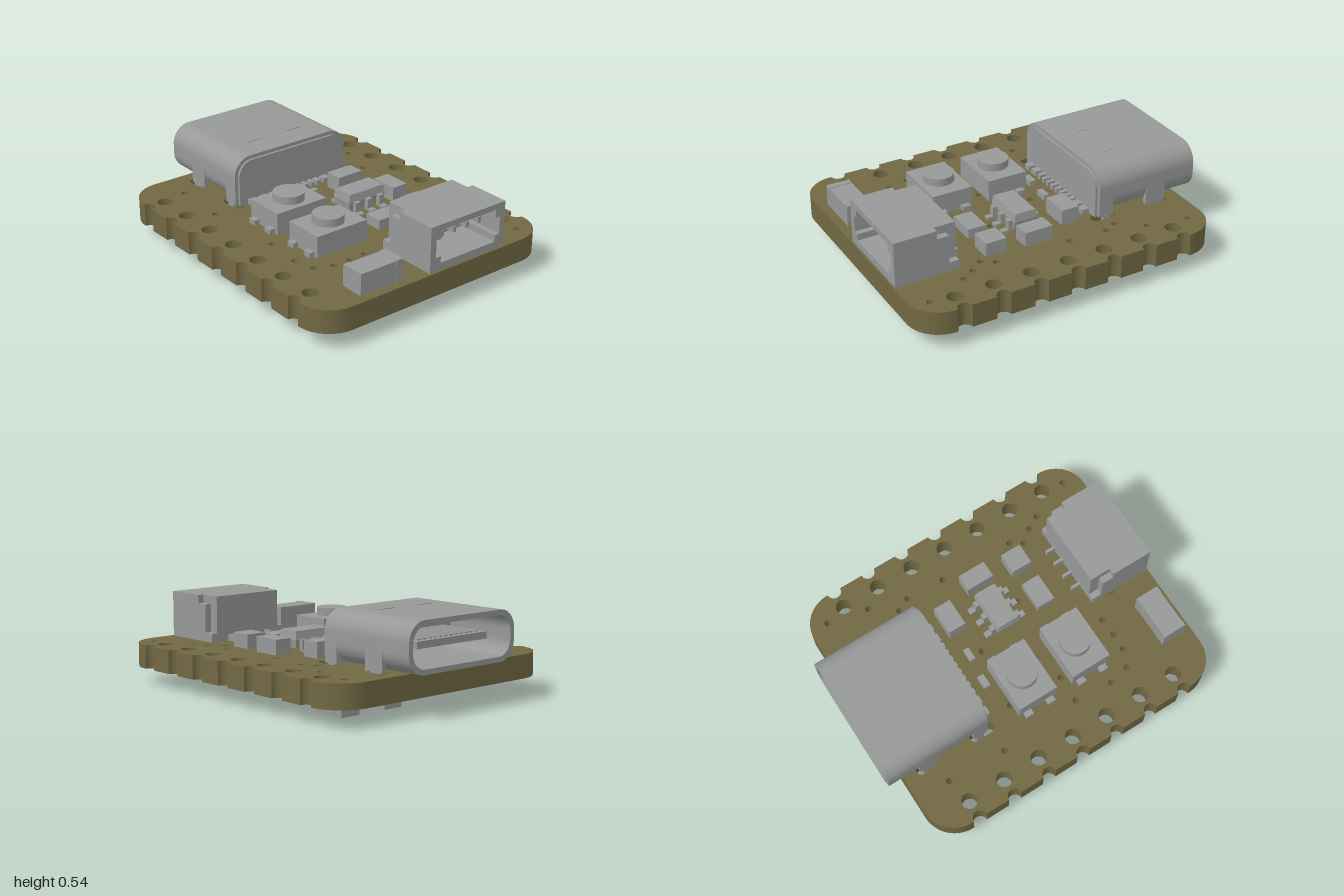
import * as THREE from 'three';
import { toCreasedNormals } from 'three/addons/utils/BufferGeometryUtils.js';

const olive = new THREE.MeshStandardMaterial({ color: 0x716843 });
olive.name = 'olive board';
const grey = new THREE.MeshStandardMaterial({ color: 0x979999 });
grey.name = 'component grey';

const TOP = 0.245, BOTTOM = 0.105;

export function createModel() {
  const model = new THREE.Group();
  const add = (name, geo, mat = grey, parent = model) => {
    const m = new THREE.Mesh(geo, mat);
    m.name = name;
    parent.add(m);
    return m;
  };
  // Box given by its limits on each axis
  const box = (name, x0, x1, y0, y1, z0, z1, parent = model) => {
    const m = add(name, new THREE.BoxGeometry(x1 - x0, y1 - y0, z1 - z0), grey, parent);
    m.position.set((x0 + x1) / 2, (y0 + y1) / 2, (z0 + z1) / 2);
    return m;
  };
  const group = (name, x = 0, y = 0, z = 0) => {
    const g = new THREE.Group();
    g.name = name;
    g.position.set(x, y, z);
    model.add(g);
    return g;
  };
  // Extrusion along z from z0 to z1
  const extrudeZ = (shape, z0, z1) => {
    const g = new THREE.ExtrudeGeometry(shape, { depth: z1 - z0, bevelEnabled: false, curveSegments: 12 });
    g.translate(0, 0, z0);
    return toCreasedNormals(g, 0.6);
  };
  // Rounded rectangle with separate lower and upper corner radii
  const rounded = (P, x0, x1, y0, y1, rb, rt) => {
    const p = new P(), h = Math.PI / 2;
    p.moveTo(x0 + rb, y0);
    p.lineTo(x1 - rb, y0);
    if (rb) p.absarc(x1 - rb, y0 + rb, rb, -h, 0, false);
    p.lineTo(x1, y1 - rt);
    if (rt) p.absarc(x1 - rt, y1 - rt, rt, 0, h, false);
    p.lineTo(x0 + rt, y1);
    if (rt) p.absarc(x0 + rt, y1 - rt, rt, h, 2 * h, false);
    p.lineTo(x0, y0 + rb);
    if (rb) p.absarc(x0 + rb, y0 + rb, rb, 2 * h, 3 * h, false);
    return p;
  };
  const polygon = pts => new THREE.Shape(pts.map(p => new THREE.Vector2(...p)));

  // Board with edge notches, pin holes, slots and vias (shape y is -z)
  const H = Math.PI / 2, W = 0.815, R = 0.2, nr = 0.043;
  const rows = Array.from({ length: 7 }, (_, i) => -0.75 + i * 0.2343);
  const s = new THREE.Shape();
  s.moveTo(-W + R, -1);
  s.lineTo(W - R, -1);
  s.absarc(W - R, -1 + R, R, -H, 0, false);
  for (const y of rows) {
    s.lineTo(W, y - nr);
    s.absarc(W, y, nr, -H, H, true);
  }
  s.absarc(W - R, 0.905 - R, R, 0, H, false);
  s.absarc(-W + R, 0.905 - R, R, H, 2 * H, false);
  for (const y of [...rows].reverse()) {
    s.lineTo(-W, y + nr);
    s.absarc(-W, y, nr, H, -H, true);
  }
  s.absarc(-W + R, -1 + R, R, 2 * H, 3 * H, false);
  const hole = (x, z, r) => s.holes.push(new THREE.Path().absarc(x, -z, r, 0, 2 * Math.PI, true));
  for (const sx of [-1, 1]) {
    for (const y of rows) hole(sx * 0.7, -y, 0.047);
    for (const [z0, z1] of [[-0.82, -0.7], [-0.46, -0.3]])
      s.holes.push(rounded(THREE.Path, sx * 0.395 - 0.032, sx * 0.395 + 0.032, -z1, -z0, 0.03, 0.03));
  }
  const vias = [[-0.54, -0.69], [-0.56, -0.33], [0.66, -0.79], [0.61, -0.54], [0.5, -0.39], [0.54, -0.31],
    [0.53, -0.07], [0.02, -0.115], [-0.18, 0.125], [-0.53, 0.18], [-0.365, 0.185], [0.17, 0.235],
    [-0.55, 0.415], [-0.52, 0.545], [-0.415, 0.59], [-0.31, 0.595], [-0.2, 0.59], [0.515, 0.395],
    [0.47, 0.47], [0.53, 0.55], [0.575, 0.63], [0.68, 0.89], [-0.35, -0.155], [-0.075, 0.74]];
  for (const [x, z] of vias) hole(x, z, 0.019);
  const board = new THREE.ExtrudeGeometry(s, { depth: TOP - BOTTOM, bevelEnabled: false, curveSegments: 10 });
  board.rotateX(-Math.PI / 2);
  board.translate(0, BOTTOM, 0);
  add('circuitBoard', toCreasedNormals(board, 0.7), olive);

  // USB socket: hollow shell, rear plate, tongue, legs and contacts
  const usb = group('usbSocket');
  const shell = rounded(THREE.Shape, -0.408, 0.408, 0.25, 0.542, 0.115, 0.115);
  shell.holes.push(rounded(THREE.Path, -0.378, 0.378, 0.28, 0.512, 0.09, 0.09));
  add('shell', extrudeZ(shell, -1, -0.44), grey, usb);
  add('rearShell', extrudeZ(rounded(THREE.Shape, -0.408, 0.408, 0.25, 0.542, 0, 0.115), -0.44, -0.345), grey, usb);
  add('rearPlate', extrudeZ(rounded(THREE.Shape, -0.385, 0.385, TOP, 0.52, 0, 0.095), -0.345, -0.33), grey, usb);
  box('tongue', -0.27, 0.27, 0.375, 0.415, -0.92, -0.44, usb);
  box('tongueBase', -0.32, 0.32, 0.33, 0.46, -0.6, -0.44, usb);
  for (let i = 0; i < 12; i++) {
    const x = -0.22 + i * 0.04;
    box('tongueContact', x - 0.011, x + 0.011, 0.368, 0.422, -0.89, -0.62, usb);
  }
  for (const sx of [-1, 1]) {
    for (const [z0, z1] of [[-0.8, -0.67], [-0.44, -0.36]]) {
      const x = sx * 0.395;
      box('shellLeg', x - 0.013, x + 0.013, TOP, 0.4, z0, z1, usb);
      box('legPin', x - 0.013, x + 0.013, 0.15, TOP, z0 + 0.02, z1 - 0.015, usb);
    }
    box('shellWindow', sx * 0.145 - 0.055, sx * 0.145 + 0.055, 0.54, 0.545, -0.57, -0.51, usb);
  }
  for (const [x, w] of [[-0.305, 0.05], [-0.23, 0.05], [-0.165, 0.03], [-0.115, 0.025], [-0.067, 0.025], [-0.02, 0.025],
    [0.028, 0.025], [0.075, 0.025], [0.12, 0.025], [0.165, 0.03], [0.225, 0.05], [0.298, 0.05]])
    box('contact', x - w / 2, x + w / 2, TOP, 0.275, -0.35, -0.283, usb);

  // Cable connector: open front, stepped rear corners, four pins
  const plug = group('cableConnector');
  const frame = polygon([[-0.075, TOP], [0.47, TOP], [0.47, 0.52], [-0.075, 0.52]]);
  frame.holes.push(new THREE.Path([[0, 0.29], [0, 0.33], [-0.035, 0.33], [-0.035, 0.435], [0, 0.435], [0, 0.485],
    [0.4, 0.485], [0.4, 0.435], [0.435, 0.435], [0.435, 0.33], [0.4, 0.33], [0.4, 0.29]]
    .map(p => new THREE.Vector2(...p))));
  add('housing', extrudeZ(frame, 0.73, 0.988), grey, plug);
  add('housingBack', extrudeZ(polygon([[-0.075, TOP], [0.47, TOP], [0.47, 0.3], [0.43, 0.3], [0.43, 0.52],
    [-0.035, 0.52], [-0.035, 0.3], [-0.075, 0.3]]), 0.6, 0.73), grey, plug);
  for (const x0 of [-0.075, 0.43]) box('rearStep', x0, x0 + 0.04, 0.3, 0.47, 0.66, 0.73, plug);
  for (const x of [0.06, 0.15, 0.245, 0.335]) {
    box('pin', x - 0.01, x + 0.01, 0.405, 0.44, 0.72, 0.93, plug);
    box('solderTail', x - 0.009, x + 0.009, TOP, 0.285, 0.54, 0.6, plug);
  }

  // Push buttons
  for (const z of [-0.02, 0.345]) {
    const b = group('pushButton', -0.26, TOP, z);
    box('body', -0.175, 0.175, 0, 0.13, -0.127, 0.127, b);
    add('cap', new THREE.CylinderGeometry(0.092, 0.092, 0.06, 32), grey, b).position.y = 0.148;
    for (const sx of [-1, 1]) for (const sz of [-1, 1])
      box('foot', sx * 0.19 - 0.02, sx * 0.19 + 0.02, 0, 0.03, sz * 0.075 - 0.025, sz * 0.075 + 0.025, b);
  }

  // Voltage regulator with bevelled top and bent leads
  const chip = group('regulator', 0.178, 0, 0.087);
  const body = new THREE.BoxGeometry(0.268, 0.1, 0.148, 1, 2, 1).toNonIndexed();
  const p = body.attributes.position;
  for (let i = 0; i < p.count; i++) if (p.getY(i) !== 0) {
    p.setX(i, p.getX(i) * 0.94);
    p.setZ(i, p.getZ(i) * 0.88);
  }
  body.computeVertexNormals();
  add('body', body, grey, chip).position.y = 0.315;
  for (const sz of [-1, 1]) for (const x of [-0.088, 0, 0.088]) {
    box('leadFoot', x - 0.018, x + 0.018, TOP, 0.262, sz * 0.115 - 0.022, sz * 0.115 + 0.022, chip);
    box('leadBend', x - 0.018, x + 0.018, 0.25, 0.32, sz * 0.085 - 0.014, sz * 0.085 + 0.014, chip);
  }

  // Top side chip parts: x0, x1, z0, z1, height
  for (const [x0, x1, z0, z1, h] of [[0.19, 0.365, -0.23, -0.12, 0.095], [0.36, 0.465, 0.005, 0.18, 0.09],
    [0.055, 0.23, 0.3, 0.415, 0.06], [0.315, 0.445, 0.29, 0.42, 0.085],
    [-0.19, -0.11, -0.23, -0.19, 0.035], [-0.005, 0.075, -0.21, -0.175, 0.035]])
    box('topComponent', x0, x1, TOP, TOP + h, z0, z1);

  // Light at the front corner
  const led = group('cornerDiode');
  box('body', -0.48, -0.275, TOP, 0.372, 0.802, 0.943, led);
  box('leftEnd', -0.275, -0.232, TOP, 0.375, 0.8, 0.945, led);
  box('rightEnd', -0.52, -0.48, TOP, 0.375, 0.8, 0.945, led);

  // Processor with edge pads on the underside
  const cpu = group('processor', 0.15, 0, 0.238);
  box('body', -0.23, 0.23, 0.03, BOTTOM, -0.228, 0.228, cpu);
  box('face', -0.222, 0.222, 0.015, 0.03, -0.22, 0.22, cpu);
  for (let i = 0; i < 12; i++) for (const sd of [-1, 1]) {
    const t = -0.19 + i * 0.0345;
    box('sidePad', sd * 0.23 - 0.004, sd * 0.23 + 0.004, 0.085, BOTTOM, t - 0.009, t + 0.009, cpu);
    box('endPad', t - 0.009, t + 0.009, 0.085, BOTTOM, sd * 0.229 - 0.004, sd * 0.229 + 0.004, cpu);
  }

  // Two small transistors on the underside
  for (const x of [0.18, 0.495]) {
    const t = group('transistor', x, 0, -0.55);
    box('body', -0.065, 0.065, 0.004, 0.09, -0.1, 0.1, t);
    for (const [lx, sz] of [[-0.045, 1], [0.045, 1], [0, -1]]) {
      box('lead', lx - 0.015, lx + 0.015, 0.045, 0.065, sz * 0.11 - 0.015, sz * 0.11 + 0.015, t);
      box('leadFoot', lx - 0.015, lx + 0.015, 0.05, BOTTOM, sz * 0.13 - 0.01, sz * 0.13 + 0.01, t);
    }
  }

  // Underside chip parts: centre x, z, size x, z, lowest y
  for (const [x, z, w, d, y] of [[0.03, -0.25, 0.11, 0.08, 0.03], [0.27, 0.81, 0.15, 0.2, 0.057],
    [-0.15, -0.2, 0.09, 0.05, 0.06], [-0.15, -0.3, 0.09, 0.05, 0.06], [-0.49, -0.5, 0.1, 0.05, 0.06],
    [-0.47, -0.61, 0.1, 0.05, 0.06], [0.38, -0.05, 0.05, 0.09, 0.06], [0.48, 0.08, 0.05, 0.09, 0.06],
    [0.48, 0.26, 0.05, 0.09, 0.06], [-0.27, 0.27, 0.09, 0.05, 0.06], [-0.37, 0.17, 0.09, 0.05, 0.06],
    [-0.18, 0.36, 0.09, 0.05, 0.06], [-0.28, 0.42, 0.09, 0.05, 0.06], [0, 0.53, 0.05, 0.09, 0.06],
    [0.1, 0.54, 0.05, 0.09, 0.06], [0.08, 0.68, 0.09, 0.05, 0.06], [0.48, 0.72, 0.09, 0.05, 0.06],
    [0.48, 0.86, 0.09, 0.05, 0.06]])
    box('undersideComponent', x - w / 2, x + w / 2, y, BOTTOM, z - d / 2, z + d / 2);

  return model;
}
